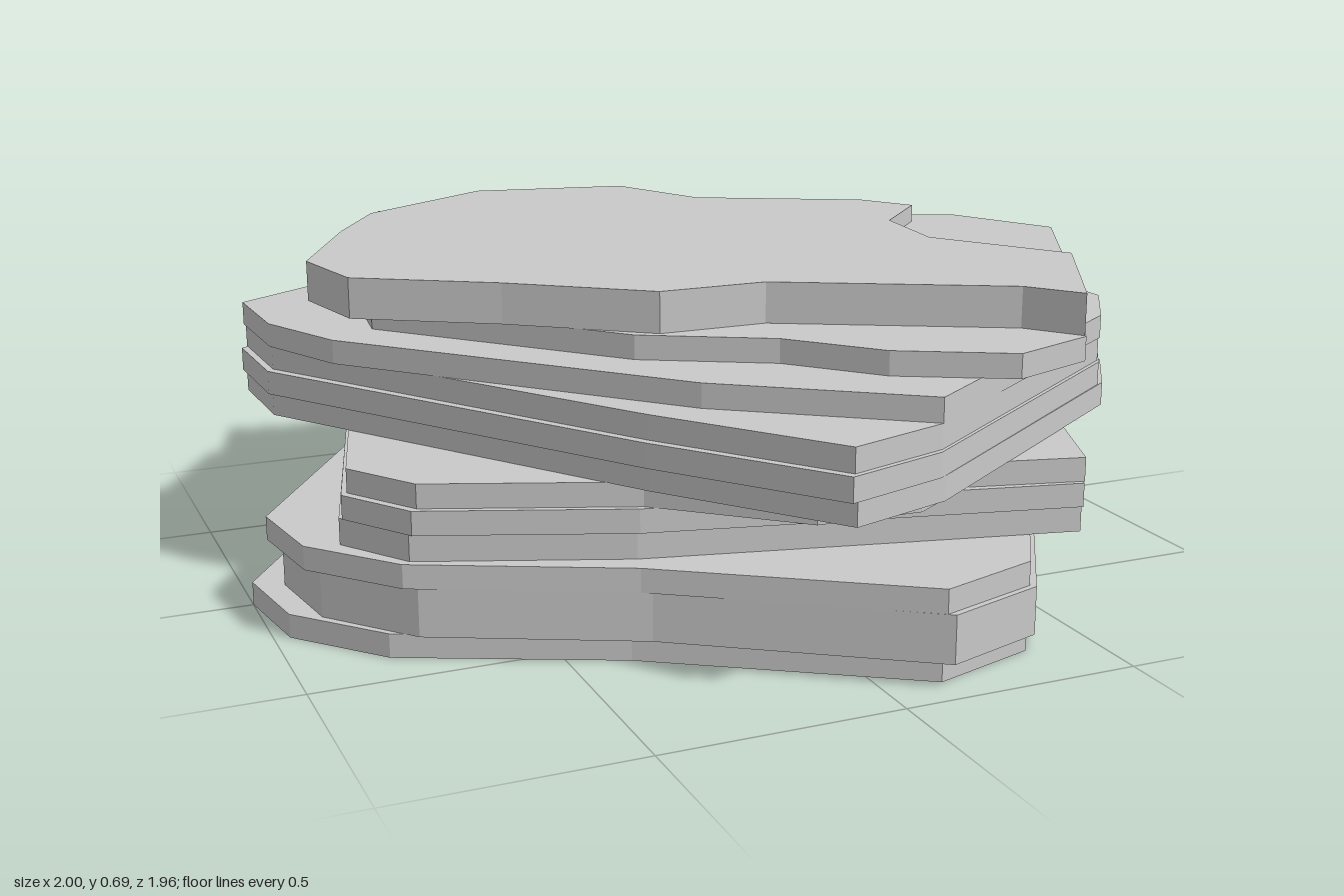
import * as THREE from 'three';

// Outlines are [x, z] corners seen from above, running front, right, back, left
const base = [[0.12, 0.96], [0.34, 0.89], [0.96, -0.11], [-0.26, -0.935], [-0.4, -0.85], [-0.95, 0.04], [-0.92, 0.25], [-0.77, 0.43], [-0.36, 0.63]];
const turned = [[0.52, 0.77], [0.6, 0.57], [0.885, -0.32], [0.77, -0.47], [0.33, -0.6], [-0.61, -0.75], [-0.65, -0.56], [-0.87, 0.26], [-0.77, 0.41], [-0.36, 0.57]];
const middle = [[-0.1, 0.97], [0.12, 0.9], [0.77, 0.45], [0.88, 0.28], [0.16, -0.83], [-0.04, -0.97], [-0.91, -0.41], [-0.9, -0.18], [-0.36, 0.63]];
const narrow = [[0.32, 0.84], [0.51, 0.77], [0.71, 0.42], [0.865, -0.3], [0.64, -0.38], [0.14, -0.8], [-0.2, -0.865], [-0.66, -0.45], [-0.71, -0.05], [-0.3, 0.41], [-0.05, 0.55], [0.1, 0.72]];

// The two highest slabs share their left and front edge
const sharedEdge = [[-0.55, -0.66], [-0.67, -0.46], [-0.82, -0.15], [-0.78, 0.05], [-0.51, 0.22], [-0.25, 0.42], [-0.02, 0.42], [0.43, 0.66], [0.51, 0.765], [0.71, 0.41]];
const upper = [...sharedEdge, [0.96, -0.05], [0.83, -0.29], [0.64, -0.38], [0.27, -0.57], [0.14, -0.8], [-0.47, -0.905]];
const top = [...sharedEdge, [0.52, 0.13], [0.54, -0.09], [0.69, -0.25], [0.61, -0.37], [0.25, -0.56], [0.14, -0.8], [-0.22, -0.87]];

// Some slabs carry a spur on the right or extra corners in front
const spurred = [...middle.slice(0, 4), [0.87, -0.1], [0.915, -0.34], [0.77, -0.48], [0.33, -0.61], ...middle.slice(4)];
const turnedCap = [...turned, [-0.1, 0.8], [0.12, 0.81], [0.28, 0.71]];
const middleCap = [...spurred.slice(1, -1), [-0.81, 0.02], [-0.25, 0.63]];

// Slabs from the ground up: name, outline, height, widening, slide in x and z
const SLABS = [
  ['baseSlab', base, 0.05, 1.047, -0.005, -0.04],
  ['lowerSlab', base, 0.1, 0.995, 0.005, 0],
  ['lowerSlabCap', base, 0.05, 1.01, -0.01, -0.01],
  ['turnedSlab', turned, 0.055, 1, 0, 0],
  ['turnedSlabUpper', turned, 0.05, 0.995, 0, 0.01],
  ['turnedSlabCap', turnedCap, 0.05, 0.99, 0.01, 0],
  ['middleSlab', spurred, 0.05, 1.005, 0.005, 0],
  ['middleSlabCore', middle, 0.05, 1, -0.01, 0.01],
  ['middleSlabUpper', middle, 0.05, 0.995, 0, -0.005],
  ['middleSlabCap', middleCap, 0.05, 1, 0, -0.005],
  ['narrowSlab', narrow, 0.05, 1, 0, 0],
  ['upperSlab', upper, 0.045, 1, 0, 0],
  ['topSlab', top, 0.04, 1, 0, 0],
];

// Distance from the axis to an outline in a given direction (0 for no outline)
function radiusAt(corners, angle) {
  const c = Math.cos(angle), s = Math.sin(angle);
  let radius = 0;
  corners.forEach(([px, pz], i) => {
    const [qx, qz] = corners[(i + 1) % corners.length];
    const sideP = px * s - pz * c, sideQ = qx * s - qz * c;
    const u = sideP / (sideP - sideQ);
    if (u < -1e-6 || u > 1 + 1e-6) return;
    radius = Math.max(radius, (px + u * (qx - px)) * c + (pz + u * (qz - pz)) * s);
  });
  return radius;
}

function facetGeometry(points) {
  const geometry = new THREE.BufferGeometry().setFromPoints(points);
  geometry.computeVertexNormals();
  return geometry;
}

// Upright rim of a slab
function wallGeometry(corners, y0, y1) {
  const points = [];
  corners.forEach(([px, pz], i) => {
    const [qx, qz] = corners[(i + 1) % corners.length];
    const p0 = new THREE.Vector3(px, y0, pz), p1 = new THREE.Vector3(px, y1, pz);
    const q0 = new THREE.Vector3(qx, y0, qz), q1 = new THREE.Vector3(qx, y1, qz);
    points.push(p0, q0, q1, p0, q1, p1);
  });
  return facetGeometry(points);
}

// Flat part of a slab that its neighbour leaves uncovered
function ledgeGeometry(corners, neighbour, y, facesUp) {
  const angles = Array.from({ length: 240 }, (_, i) => -Math.PI + (i * Math.PI) / 120);
  angles.push(...[...corners, ...neighbour].map(([x, z]) => Math.atan2(z, x)), Math.PI);
  angles.sort((a, b) => a - b);
  const spokes = angles.map((angle) => {
    const outer = radiusAt(corners, angle);
    const inner = Math.min(outer, radiusAt(neighbour, angle));
    const at = (r) => new THREE.Vector3(r * Math.cos(angle), y, r * Math.sin(angle));
    return { width: outer - inner, inner: at(inner), outer: at(outer) };
  });
  const points = [];
  for (let i = 1; i < spokes.length; i++) {
    const a = spokes[i - 1], b = spokes[i];
    if (a.width + b.width < 1e-4) continue;
    if (facesUp) points.push(a.inner, b.inner, a.outer, a.outer, b.inner, b.outer);
    else points.push(a.inner, a.outer, b.inner, a.outer, b.outer, b.inner);
  }
  return facetGeometry(points);
}

export function createModel() {
  const model = new THREE.Group();
  model.name = 'stackedSlabs';
  const stone = new THREE.MeshStandardMaterial({ color: 0xc9c9c9, side: THREE.DoubleSide });
  stone.name = 'grey stone';

  const outlines = SLABS.map(([, outline, , widen, dx, dz]) => outline.map(([x, z]) => [x * widen + dx, z + dz]));
  let y = 0;

  // Hollow stack: rim, exposed top and overhanging underside of each slab
  SLABS.forEach(([name, , height], i) => {
    const slab = new THREE.Group();
    slab.name = name;
    const add = (part, geometry) => {
      const mesh = new THREE.Mesh(geometry, stone);
      mesh.name = part;
      slab.add(mesh);
    };
    add('rim', wallGeometry(outlines[i], y, y + height));
    add('topFace', ledgeGeometry(outlines[i], outlines[i + 1] ?? [], y + height, true));
    if (i > 0) add('overhang', ledgeGeometry(outlines[i], outlines[i - 1], y, false));
    model.add(slab);
    y += height;
  });
  return model;
}
